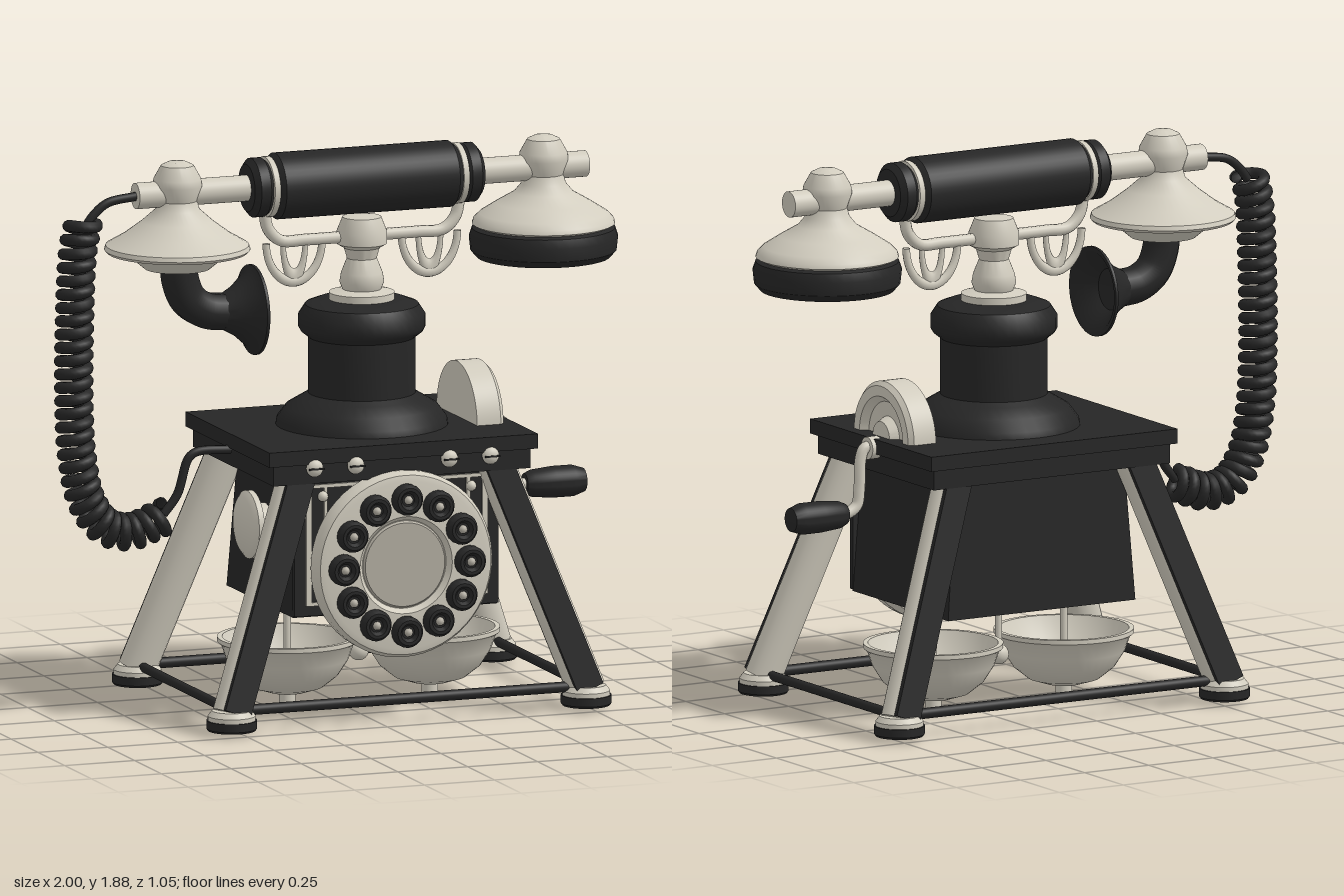
import * as THREE from 'three';
import { toCreasedNormals } from 'three/addons/utils/BufferGeometryUtils.js';

const CX = 0.1; // middle of the cabinet
const V = (x, y, z = 0) => new THREE.Vector3(x, y, z);

export function createModel() {
  const root = new THREE.Group();
  root.name = 'rotaryTelephone';
  const paint = (name, color) => {
    const m = new THREE.MeshStandardMaterial({ color, side: THREE.DoubleSide });
    m.name = name;
    return m;
  };
  const black = paint('black', 0x262626);
  const ivory = paint('ivory', 0xd2cdbf);
  const grey = paint('warmGrey', 0xb4afa3);

  const add = (name, geo, mat, x = 0, y = 0, z = 0, parent = root) => {
    const m = new THREE.Mesh(geo, mat);
    m.name = name;
    m.position.set(x, y, z);
    parent.add(m);
    return m;
  };
  const box = (name, w, h, d, mat, x, y, z, parent) =>
    add(name, new THREE.BoxGeometry(w, h, d), mat, x, y, z, parent);
  // Profiles run from low to high as [radius, height]
  const lathe = (name, pts, mat, x, y, z, parent, seg = 40) =>
    add(name, toCreasedNormals(new THREE.LatheGeometry(pts.map(p => new THREE.Vector2(p[0], p[1])), seg), 0.6), mat, x, y, z, parent);
  const tube = (name, pts, r, mat, seg = 32, parent = root) =>
    add(name, new THREE.TubeGeometry(new THREE.CatmullRomCurve3(pts, false, 'centripetal'), seg, r, 10), mat, 0, 0, 0, parent);
  const disc = (name, r, len, mat, x, y, z, axis, parent) => {
    const m = add(name, new THREE.CylinderGeometry(r, r, len, 32), mat, x, y, z, parent);
    if (axis === 'x') m.rotation.z = -Math.PI / 2;
    if (axis === 'z') m.rotation.x = Math.PI / 2;
    return m;
  };

  // Cabinet, flaring a little towards the bottom
  const bodyGeo = new THREE.BoxGeometry(0.73, 0.475, 0.62);
  const p = bodyGeo.attributes.position;
  for (let i = 0; i < p.count; i++) {
    if (p.getY(i) > 0) p.setXYZ(i, p.getX(i) * 0.9, p.getY(i), p.getZ(i) * 0.96);
  }
  bodyGeo.computeVertexNormals();
  add('cabinet', bodyGeo, black, CX, 0.592, 0);
  box('tableTop', 0.96, 0.05, 0.785, black, CX, 0.913, 0);
  box('tableTopLower', 0.92, 0.07, 0.75, black, CX, 0.855, 0);
  for (const dx of [-0.317, -0.17, 0.165, 0.312]) {
    const s = add('tableScrew', new THREE.SphereGeometry(0.03, 16, 10), ivory, CX + dx, 0.875, 0.388);
    s.scale.z = 0.7;
    box('screwSlot', 0.055, 0.006, 0.004, black, CX + dx, 0.875, 0.409);
  }

  // Front panel with its trim
  box('frontPanel', 0.73, 0.46, 0.02, black, CX, 0.59, 0.315);
  for (const s of [-1, 1]) {
    box('panelTrimSide', 0.02, 0.41, 0.008, ivory, CX + s * 0.315, 0.6, 0.328);
    box('panelTrimInner', 0.012, 0.41, 0.008, ivory, CX + s * 0.255, 0.6, 0.328);
    add('panelScrew', new THREE.SphereGeometry(0.018, 12, 8), ivory, CX + s * 0.265, 0.765, 0.33);
  }
  for (const y of [0.4, 0.8]) box('panelTrimCross', 0.64, 0.012, 0.008, ivory, CX, y, 0.328);

  // Dial
  const dial = new THREE.Group();
  dial.name = 'dial';
  dial.position.set(CX, 0.528, 0.33);
  dial.rotation.x = Math.PI / 2;
  root.add(dial);
  lathe('dialPlate', [[0, 0], [0.3, 0], [0.317, 0.02], [0.317, 0.06], [0.305, 0.08], [0.285, 0.085],
    [0.165, 0.085], [0.15, 0.065], [0, 0.065]], ivory, 0, 0, 0, dial, 56);
  lathe('dialCentre', [[0.148, 0.066], [0.142, 0.074], [0, 0.074]], grey, 0, 0, 0, dial);
  for (let i = 0; i < 12; i++) {
    const a = i * Math.PI / 6, x = 0.225 * Math.cos(a), z = 0.225 * Math.sin(a);
    lathe('fingerCup', [[0.053, 0.08], [0.053, 0.105], [0.043, 0.12], [0.032, 0.12], [0.022, 0.105], [0, 0.105]],
      black, x, 0, z, dial, 20);
    add('fingerCupBead', new THREE.SphereGeometry(0.015, 10, 8), grey, x, 0.107, z, dial);
  }

  // Legs, feet and floor rails
  for (const sx of [-1, 1]) for (const sz of [-1, 1]) {
    const fx = CX + sx * 0.634, fz = sz * 0.44;
    const foot = V(fx, 0.07, fz), top = V(CX + sx * 0.345, 0.86, sz * 0.31);
    const up = top.clone().sub(foot), len = up.length();
    up.normalize();
    const side = up.clone().cross(V(0, 0, sz)).normalize();
    const out = side.clone().cross(up);
    const leg = new THREE.Group();
    leg.name = 'leg';
    leg.quaternion.setFromRotationMatrix(new THREE.Matrix4().makeBasis(side, up, out));
    leg.position.copy(foot).add(top).multiplyScalar(0.5);
    root.add(leg);
    const post = add('legPost', new THREE.CylinderGeometry(0.055, 0.055, len, 20), ivory, 0, 0, 0, leg);
    post.scale.x = 1.2;
    box('legStripe', 0.095, len, 0.03, black, 0, 0, 0.04, leg);
    lathe('footPad', [[0, 0.015], [0.08, 0.015], [0.085, 0.022], [0.085, 0.05], [0, 0.05]], black, fx, 0, fz);
    lathe('footCollar', [[0.08, 0.05], [0.08, 0.065], [0.066, 0.083], [0, 0.083]], ivory, fx, 0, fz);
  }
  for (const s of [-1, 1]) {
    disc('floorRail', 0.018, 1.268, black, CX, 0.08, s * 0.44, 'x');
    disc('floorRailSide', 0.016, 0.88, black, CX + s * 0.634, 0.08, 0, 'z');
  }

  // Bells and clapper
  for (const s of [-1, 1]) {
    const x = CX + s * 0.255;
    lathe('bell', [[0, 0.03], [0.06, 0.036], [0.12, 0.055], [0.17, 0.095], [0.205, 0.15], [0.222, 0.2],
      [0.235, 0.21], [0.235, 0.225], [0.218, 0.225], [0.19, 0.16], [0.13, 0.085], [0, 0.06]], ivory, x, 0, -0.03);
    disc('bellNut', 0.028, 0.04, ivory, x, 0.02, -0.03);
    disc('bellRod', 0.013, 0.36, ivory, x, 0.22, -0.03);
  }
  add('clapper', new THREE.SphereGeometry(0.035, 18, 12), ivory, CX, 0.16, -0.03);
  disc('clapperRod', 0.012, 0.22, ivory, CX, 0.27, -0.03);

  // Pedestal and cradle
  lathe('pedestal', [[0.29, 0.93], [0.285, 0.96], [0.255, 1.0], [0.205, 1.03], [0.18, 1.045], [0.18, 1.235],
    [0.205, 1.255], [0.213, 1.27], [0.213, 1.31], [0.19, 1.345], [0.15, 1.36], [0, 1.365]], black, CX, 0, 0);
  lathe('cradleStem', [[0.11, 1.36], [0.11, 1.385], [0.065, 1.395], [0.075, 1.42], [0.07, 1.45], [0.05, 1.5],
    [0.06, 1.535], [0.085, 1.55], [0.085, 1.59], [0.065, 1.64], [0, 1.65]], ivory, CX, 0, 0);
  tube('cradleBar', [V(-0.25, 1.69), V(-0.235, 1.62), V(-0.19, 1.578), V(-0.1, 1.575), V(CX, 1.575),
    V(0.3, 1.575), V(0.39, 1.578), V(0.435, 1.62), V(0.45, 1.69)], 0.02, ivory, 60);
  for (const s of [-1, 1]) {
    const x = CX + s * 0.242;
    const hoop = add('cradleHoop', new THREE.TorusGeometry(0.1, 0.013, 10, 24, Math.PI), ivory, x, 1.57, 0);
    hoop.rotation.z = Math.PI;
    hoop.scale.y = 1.35;
    const cross = add('cradleCrossHoop', new THREE.TorusGeometry(0.04, 0.01, 8, 20, Math.PI), ivory, x, 1.57, 0);
    cross.rotation.z = Math.PI;
    cross.scale.y = 3;
  }

  // Handset: rod, grip and rings
  disc('handsetRod', 0.044, 1.61, ivory, 0.095, 1.765, 0, 'x');
  const grip = lathe('handsetGrip', [[0, -0.412], [0.08, -0.412], [0.1, -0.395], [0.1, -0.36], [0.085, -0.34], [0.095, -0.33],
    [0.112, -0.31], [0.112, 0.31], [0.095, 0.33], [0.085, 0.34], [0.1, 0.36], [0.1, 0.395], [0.08, 0.412], [0, 0.412]],
  black, CX, 1.765, 0);
  grip.rotation.z = -Math.PI / 2;
  for (const s of [-1, 1]) disc('gripRing', 0.102, 0.02, ivory, CX + s * 0.338, 1.765, 0, 'x');

  // Earpiece and mouthpiece shells
  const cap = [[0.075, 1.71], [0.066, 1.74], [0.083, 1.79], [0.08, 1.815], [0.055, 1.86], [0.03, 1.872], [0, 1.873]];
  lathe('mouthpieceShell', [[0.11, 1.51], [0.17, 1.56], [0.235, 1.565], [0.245, 1.575], [0.24, 1.59], [0.18, 1.625],
    [0.12, 1.67], ...cap], ivory, -0.56, 0, 0);
  lathe('earpieceShell', [[0.22, 1.565], [0.24, 1.575], [0.235, 1.59], [0.215, 1.61], [0.16, 1.645], [0.1, 1.68], ...cap],
    ivory, 0.75, 0, 0);
  lathe('earpiecePad', [[0, 1.475], [0.15, 1.475], [0.19, 1.46], [0.225, 1.462], [0.245, 1.485], [0.25, 1.53],
    [0.24, 1.56], [0.215, 1.572], [0, 1.572]], black, 0.75, 0, 0);

  // Mouthpiece horn
  tube('hornNeck', [V(-0.555, 1.54), V(-0.55, 1.47), V(-0.52, 1.4), V(-0.46, 1.36), V(-0.39, 1.35)], 0.063, black, 24);
  const horn = lathe('hornBell', [[0, 0], [0.06, 0], [0.085, 0.045], [0.125, 0.09], [0.152, 0.105], [0.152, 0.115],
    [0.135, 0.112], [0.07, 0.05], [0, 0.04]], black, -0.4, 1.35, 0);
  horn.rotation.z = -Math.PI / 2;

  // Generator wheel and crank on the left side
  const wheel = new THREE.Group();
  wheel.name = 'generatorWheel';
  wheel.position.set(0.44, 0.935, 0);
  wheel.rotation.z = -Math.PI / 2;
  root.add(wheel);
  const wheelPts = [[0, 0], [0.19, 0], [0.19, 0.085], [0.175, 0.1], [0.14, 0.1], [0.12, 0.075], [0.07, 0.07], [0.055, 0.1], [0, 0.1]];
  add('wheelHalf', toCreasedNormals(new THREE.LatheGeometry(wheelPts.map(q => new THREE.Vector2(q[0], q[1])), 32, Math.PI, Math.PI), 0.6),
    ivory, 0, 0, 0, wheel);
  disc('crankHub', 0.038, 0.04, ivory, 0.575, 0.905, 0, 'x');
  tube('crankArm', [V(0.57, 0.91), V(0.605, 0.905), V(0.62, 0.87), V(0.625, 0.77), V(0.635, 0.715), V(0.67, 0.692), V(0.72, 0.69)],
    0.02, ivory, 40);
  const knob = lathe('crankHandle', [[0, 0], [0.035, 0], [0.046, 0.025], [0.053, 0.1], [0.053, 0.17], [0.04, 0.21], [0, 0.22]],
    black, 0.682, 0.69, 0);
  knob.rotation.z = -Math.PI / 2;

  // Round button on the right side
  const button = lathe('sideButton', [[0.07, 0], [0.07, 0.035], [0.115, 0.045], [0.115, 0.065], [0.095, 0.08], [0, 0.085]],
    ivory, -0.245, 0.62, 0);
  button.rotation.z = Math.PI / 2;

  // Coiled cord with plain ends
  tube('cordTop', [V(-0.7, 1.765), V(-0.81, 1.748), V(-0.86, 1.71), V(-0.89, 1.67)], 0.015, black);
  tube('cordBottom', [V(-0.37, 0.88), V(-0.49, 0.88), V(-0.52, 0.86), V(-0.56, 0.74), V(-0.61, 0.675)], 0.015, black);
  const path = new THREE.CatmullRomCurve3([V(-0.895, 1.69), V(-0.915, 1.6), V(-0.928, 1.35), V(-0.93, 1.1), V(-0.92, 0.9),
    V(-0.885, 0.74), V(-0.82, 0.65), V(-0.73, 0.625), V(-0.6, 0.67)]);
  const coil = [], turns = 29, steps = turns * 12;
  for (let i = 0; i <= steps; i++) {
    const t = path.getTangentAt(i / steps), a = i / 12 * Math.PI * 2;
    const c = 0.047 * Math.cos(a);
    coil.push(path.getPointAt(i / steps).add(V(-t.y * c, t.x * c, 0.047 * Math.sin(a))));
  }
  tube('coiledCord', coil, 0.02, black, steps * 2);

  return root;
}
